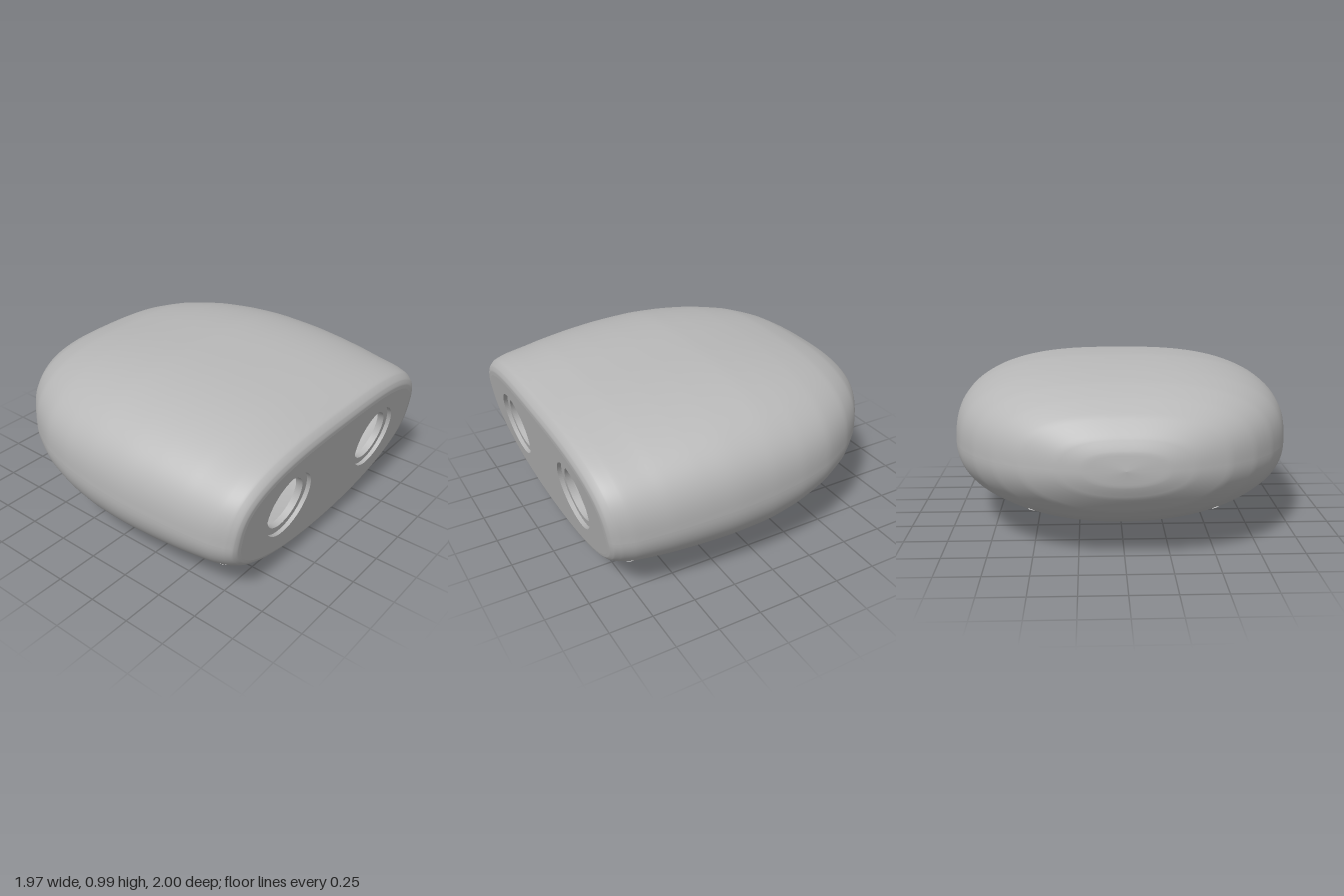
import * as THREE from 'three';

const shellMat = new THREE.MeshStandardMaterial({ color: 0xb8b8b8, side: THREE.DoubleSide });
shellMat.name = 'shell grey';
const holeMat = new THREE.MeshStandardMaterial({ color: 0xd6d6d6, side: THREE.DoubleSide });
holeMat.name = 'pale grey';

// Stations from back to front: [s, half width, top, bottom]
const stations = [
  [-0.99, 0, 0.556, 0.556], [-0.98, 0.22, 0.65, 0.47], [-0.95, 0.36, 0.72, 0.4],
  [-0.87, 0.55, 0.815, 0.3], [-0.75, 0.7, 0.885, 0.215], [-0.6, 0.82, 0.935, 0.15],
  [-0.4, 0.92, 0.97, 0.095], [-0.2, 0.97, 0.99, 0.035], [0, 0.992, 0.997, 0],
  [0.2, 0.998, 0.988, 0], [0.4, 0.988, 0.97, 0.005], [0.6, 0.97, 0.942, 0.018],
  [0.8, 0.94, 0.892, 0.045], [0.88, 0.912, 0.865, 0.068], [0.915, 0.89, 0.83, 0.09],
  [0.928, 0.865, 0.8, 0.105], [0.93, 0.84, 0.775, 0.115],
];
const sizeCurve = new THREE.CatmullRomCurve3(stations.map(p => new THREE.Vector3(p[1], p[2], p[3])));
const axisCurve = new THREE.CatmullRomCurve3(stations.map(p => new THREE.Vector3(p[0], 0, 0)));

// Neck opening: an ellipse on a sloping cut
const neck = { x: -0.02, a: 0.4, b: 0.47 };
const cutY = x => 0.047 - 0.1125 * x;
const neckRadius = p => Math.hypot((p.x - neck.x) / neck.a, p.z / neck.b);

const FACE_TILT = 0.167, FACE_X = 0.93;

// Point on the head: t runs back to front, angle runs round the section
function headPoint(t, angle) {
  const size = sizeCurve.getPoint(t), s = axisCurve.getPoint(t).x;
  const mid = 0.505 - 0.052 * s;
  const upper = Math.sin(angle) >= 0;
  const n = upper ? 2.75 + 0.4 * THREE.MathUtils.smoothstep(s, 0.6, 0.93) : 2.1;
  const c = Math.cos(angle), q = Math.abs(Math.sin(angle));
  const z = size.x * Math.sign(c) * Math.abs(c) ** (2 / n);
  let y = mid + (upper ? size.y - mid : size.z - mid) * q ** (2 / n);
  const x = s + FACE_TILT * THREE.MathUtils.smoothstep(s, -0.9, 0.93) * (y - 0.5);
  if (!upper) y = Math.max(y, cutY(x));
  return new THREE.Vector3(x, y, z);
}

// Half of the head skin; the lower half leaves out the neck opening
function halfShell(lower, scale, rows, cols) {
  const pts = [], index = [], kept = new Set();
  for (let i = 0; i <= rows; i++) {
    for (let j = 0; j <= cols; j++) {
      const p = headPoint(i / rows, Math.PI * (j / cols + (lower ? 1 : 0)));
      p.y -= 0.5;
      p.multiplyScalar(scale);
      p.y += 0.5;
      pts.push(p);
    }
  }
  const inside = p => lower && p.y < 0.3 && neckRadius(p) < 1;
  for (let i = 0; i < rows; i++) {
    for (let j = 0; j < cols; j++) {
      const a = i * (cols + 1) + j, b = a + cols + 1;
      const quad = [a, b, b + 1, a + 1];
      if (quad.every(k => inside(pts[k]))) continue;
      quad.forEach(k => kept.add(k));
      index.push(a, b, b + 1, a, b + 1, a + 1);
    }
  }
  // Draw the edge of the opening out to a clean ellipse
  for (const k of kept) {
    const p = pts[k];
    if (!inside(p)) continue;
    const r = neckRadius(p);
    p.x = neck.x + (p.x - neck.x) / r;
    p.z /= r;
    p.y = cutY(p.x) + (scale < 1 ? 0.05 : 0);
  }
  const geo = new THREE.BufferGeometry().setFromPoints(pts);
  geo.setIndex(index);
  geo.computeVertexNormals();
  return geo;
}

// Upright strip round the neck opening
function neckLip() {
  const pts = [], index = [], n = 96;
  for (let i = 0; i <= n; i++) {
    const a = i / n * Math.PI * 2;
    const x = neck.x + neck.a * Math.cos(a), z = neck.b * Math.sin(a);
    pts.push(new THREE.Vector3(x, cutY(x), z), new THREE.Vector3(x, cutY(x) + 0.055, z));
    if (i < n) index.push(2 * i, 2 * i + 2, 2 * i + 3, 2 * i, 2 * i + 3, 2 * i + 1);
  }
  const geo = new THREE.BufferGeometry().setFromPoints(pts);
  geo.setIndex(index);
  geo.computeVertexNormals();
  return geo;
}

// Flat face plate with two round eye holes, sheared onto the sloping front
function facePlate(holeRadius, back, depth) {
  const outline = [];
  for (let i = 0; i < 192; i++) {
    const p = headPoint(1, i / 192 * Math.PI * 2);
    outline.push(new THREE.Vector2(-p.z, p.y));
  }
  const shape = new THREE.Shape(outline);
  for (const side of [-1, 1]) {
    shape.holes.push(new THREE.Path().absarc(side * 0.435, 0.477, holeRadius, 0, Math.PI * 2, true));
  }
  const geo = new THREE.ExtrudeGeometry(shape, { depth, bevelEnabled: false, curveSegments: 48 });
  geo.translate(0, 0, -back);
  geo.applyMatrix4(new THREE.Matrix4().set(
    0, FACE_TILT, 1, FACE_X - FACE_TILT * 0.5,
    0, 1, 0, 0,
    -1, 0, 0, 0,
    0, 0, 0, 1));
  geo.computeVertexNormals();
  return geo;
}

export function createModel() {
  const model = new THREE.Group();
  const add = (name, geo, x = 0, y = 0, z = 0, mat = shellMat) => {
    const mesh = new THREE.Mesh(geo, mat);
    mesh.name = name;
    mesh.position.set(x, y, z);
    model.add(mesh);
    return mesh;
  };

  // Outer and inner skins
  const lowerGeo = halfShell(true, 1, 112, 96);
  add('upperShell', halfShell(false, 1, 112, 96));
  add('lowerShell', lowerGeo);
  add('upperLining', halfShell(false, 0.94, 64, 48));
  add('lowerLining', halfShell(true, 0.94, 80, 64));
  add('neckLip', neckLip());

  // Stepped eye openings
  add('facePlate', facePlate(0.193, 0.025, 0.025));
  add('eyeRimPlate', facePlate(0.152, 0.065, 0.04));

  // Small screw holes, set on the nearest point of the lower shell
  const pos = lowerGeo.attributes.position, nor = lowerGeo.attributes.normal;
  const screwHole = (x, y, z, anyDepth) => {
    let best = 0, bestD = Infinity;
    for (let i = 0; i < pos.count; i++) {
      if (!anyDepth && pos.getZ(i) * z < 0) continue;
      const d = Math.hypot(pos.getX(i) - x, pos.getY(i) - y, anyDepth ? pos.getZ(i) - z : 0);
      if (d < bestD) { bestD = d; best = i; }
    }
    const p = new THREE.Vector3().fromBufferAttribute(pos, best);
    const n = new THREE.Vector3().fromBufferAttribute(nor, best);
    const hole = add('screwHole', new THREE.CylinderGeometry(0.02, 0.02, 0.006, 20), p.x, p.y, p.z, holeMat);
    hole.quaternion.setFromUnitVectors(new THREE.Vector3(0, 1, 0), n);
  };
  for (const side of [-1, 1]) {
    screwHole(-0.6, 0.23, side);
    screwHole(0.1, 0.18, side);
    screwHole(0.77, 0.23, side);
    // Upright rib behind each eye
    add('innerRib', new THREE.BoxGeometry(0.25, 0.18, 0.025), -0.62, 0.46, side * 0.46);
  }
  screwHole(0.67, 0.02, 0, true);

  // Neck mount inside the head
  add('mountPlate', new THREE.BoxGeometry(0.6, 0.025, 0.46), -0.05, 0.42, 0);
  add('turntable', new THREE.CylinderGeometry(0.13, 0.13, 0.05, 32), -0.05, 0.34, 0);
  add('neckPivot', new THREE.CylinderGeometry(0.06, 0.06, 0.16, 24), -0.05, 0.36, 0);
  for (const side of [-1, 1]) {
    add('mountBracket', new THREE.BoxGeometry(0.12, 0.14, 0.02), -0.05, 0.34, side * 0.18);
    add('mountPost', new THREE.CylinderGeometry(0.025, 0.025, 0.5, 16), -0.28, 0.68, side * 0.18);
    add('mountPost', new THREE.CylinderGeometry(0.025, 0.025, 0.5, 16), 0.18, 0.68, side * 0.18);
  }
  return model;
}
